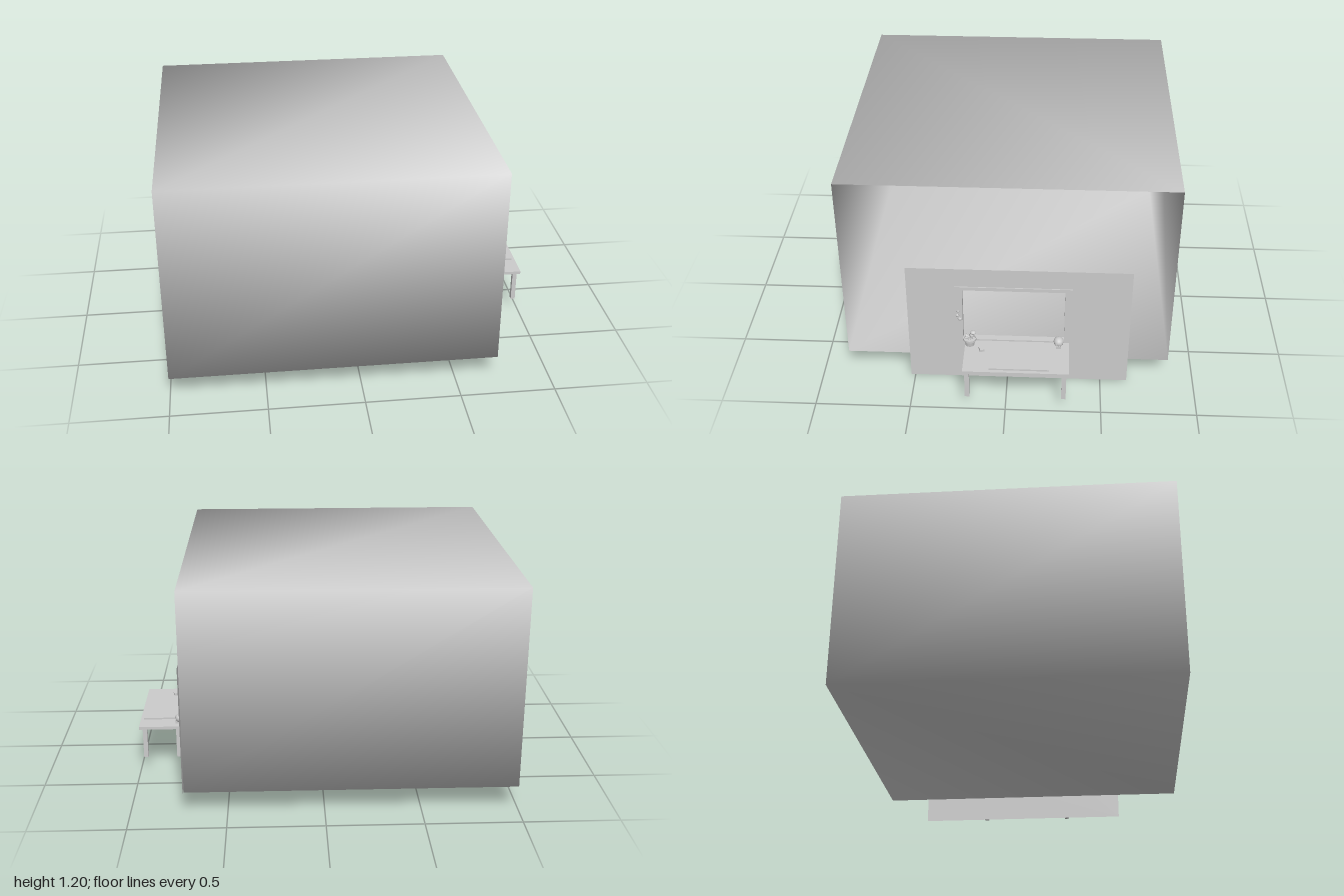
import * as THREE from 'three';
import { mergeVertices } from 'three/addons/utils/BufferGeometryUtils.js';

export function createModel() {
  const root = new THREE.Group();
  const grey = new THREE.MeshStandardMaterial({ color: 0xcccccc });
  const thin = new THREE.MeshStandardMaterial({ color: 0xcccccc, side: THREE.DoubleSide });

  const add = (name, geo, x, y, z, parent = root, mat = grey) => {
    const m = new THREE.Mesh(geo, mat);
    m.name = name;
    m.position.set(x, y, z);
    parent.add(m);
    return m;
  };
  // box given by its limits on each axis
  const box = (name, [x0, x1], [y0, y1], [z0, z1], parent) =>
    add(name, new THREE.BoxGeometry(x1 - x0, y1 - y0, z1 - z0),
      (x0 + x1) / 2, (y0 + y1) / 2, (z0 + z1) / 2, parent);
  const ball = (name, r, sx, sy, sz, x, y, z, parent) =>
    add(name, new THREE.SphereGeometry(r, 16, 12).scale(sx, sy, sz), x, y, z, parent);
  // rectangle in the z-y plane, with shape x standing for -z
  const rect = (Type, z0, z1, y0, y1) => {
    const p = new Type();
    p.moveTo(-z1, y0).lineTo(-z0, y0).lineTo(-z0, y1).lineTo(-z1, y1).closePath();
    return p;
  };
  const WZ = [-0.3, 0.233], WY = [0.265, 0.59];

  // smooth-shaded backdrop shell, open towards +x
  let shell = new THREE.BoxGeometry(1.72, 1.07, 1.72);
  shell.setIndex(Array.from(shell.index.array).slice(6));
  shell.deleteAttribute('normal');
  shell.deleteAttribute('uv');
  shell = mergeVertices(shell);
  shell.computeVertexNormals();
  add('backdropShell', shell, -0.14, 0.663, 0, root, thin);

  // flat wall with the window opening
  const wall = rect(THREE.Shape, -0.643, 0.523, 0, 0.72);
  wall.holes.push(rect(THREE.Path, ...WZ, ...WY));
  add('wall', new THREE.ShapeGeometry(wall).rotateY(Math.PI / 2), 0.748, 0, 0, root, thin);

  // window: four reveal sheets and a flat frame
  const win = new THREE.Group();
  win.name = 'window';
  root.add(win);
  const zc = (WZ[0] + WZ[1]) / 2, yc = (WY[0] + WY[1]) / 2;
  for (const y of WY)
    add('reveal', new THREE.PlaneGeometry(0.03, WZ[1] - WZ[0]).rotateX(-Math.PI / 2), 0.733, y, zc, win, thin);
  for (const z of WZ)
    add('reveal', new THREE.PlaneGeometry(0.03, WY[1] - WY[0]), 0.733, yc, z, win, thin);
  const frame = rect(THREE.Shape, -0.338, 0.273, 0.24, 0.61);
  frame.holes.push(rect(THREE.Path, ...WZ, ...WY));
  add('windowFrame', new THREE.ExtrudeGeometry(frame, { depth: 0.006, bevelEnabled: false })
    .rotateY(Math.PI / 2), 0.748, 0, 0, win);

  // table
  const table = new THREE.Group();
  table.name = 'table';
  root.add(table);
  box('tableTop', [0.752, 1], [0.241, 0.257], [-0.327, 0.221], table);
  for (const x of [0.775, 0.958])
    for (const z of [-0.315, 0.188])
      box('tableLeg', [x, x + 0.024], [0.068, 0.241], [z, z + 0.024], table);
  box('deskMat', [0.785, 0.982], [0.257, 0.266], [-0.225, 0.085], table);
  const eraser = box('eraser', [0.815, 0.845], [0.257, 0.27], [0.12, 0.143], table);
  eraser.rotation.y = 0.3;

  // potted plant
  const plant = new THREE.Group();
  plant.name = 'pottedPlant';
  plant.position.set(0.784, 0.257, 0.196);
  root.add(plant);
  const potProfile = [[0, 0], [0.024, 0], [0.029, 0.032], [0.035, 0.032], [0.035, 0.044],
    [0.03, 0.044], [0.029, 0.036], [0, 0.036]].map(([x, y]) => new THREE.Vector2(x, y));
  const pot = new THREE.LatheGeometry(potProfile, 20).toNonIndexed();
  pot.computeVertexNormals();
  add('pot', pot, 0, 0, 0, plant, thin);
  const stem = new THREE.CatmullRomCurve3([[0, 0.034, 0], [-0.008, 0.055, -0.002], [0, 0.075, -0.01],
    [0.012, 0.087, -0.018]].map(p => new THREE.Vector3(...p)));
  add('stem', new THREE.TubeGeometry(stem, 14, 0.006, 8), 0, 0, 0, plant);
  ball('flowerHead', 0.014, 1.1, 0.75, 1.1, 0.013, 0.09, -0.02, plant);
  ball('bud', 0.011, 1, 1.2, 1, 0.008, 0.066, -0.012, plant);
  for (let i = 0; i < 6; i++) {
    const a = i * Math.PI / 3;
    const leaf = ball('leaf', 0.016, 1, 0.3, 0.6, Math.cos(a) * 0.014, 0.048, Math.sin(a) * 0.014, plant);
    leaf.rotation.set(0, -a, 0.5);
  }

  // small skull facing +x
  const skull = new THREE.Group();
  skull.name = 'skull';
  skull.position.set(0.776, 0.257, -0.272);
  root.add(skull);
  ball('cranium', 0.027, 1.08, 0.93, 0.98, 0, 0.028, 0, skull);
  box('jaw', [0.004, 0.028], [0, 0.016], [-0.013, 0.013], skull);
  for (const s of [-1, 1])
    add('eyeSocket', new THREE.TorusGeometry(0.006, 0.002, 6, 14).rotateY(Math.PI / 2), 0.025, 0.024, s * 0.01, skull);

  // little ornaments on the side of the frame
  const ornament = new THREE.Group();
  ornament.name = 'frameOrnaments';
  root.add(ornament);
  for (const [y, z, r] of [[0.452, 0.256, 0.005], [0.425, 0.26, 0.008], [0.403, 0.247, 0.01]]) {
    ball('ornamentKnob', r, 0.7, 1, 1, 0.757, y, z, ornament);
    add('ornamentRing', new THREE.TorusGeometry(r, 0.002, 6, 14).rotateY(Math.PI / 2), 0.757, y, z, ornament);
  }
  return root;
}
